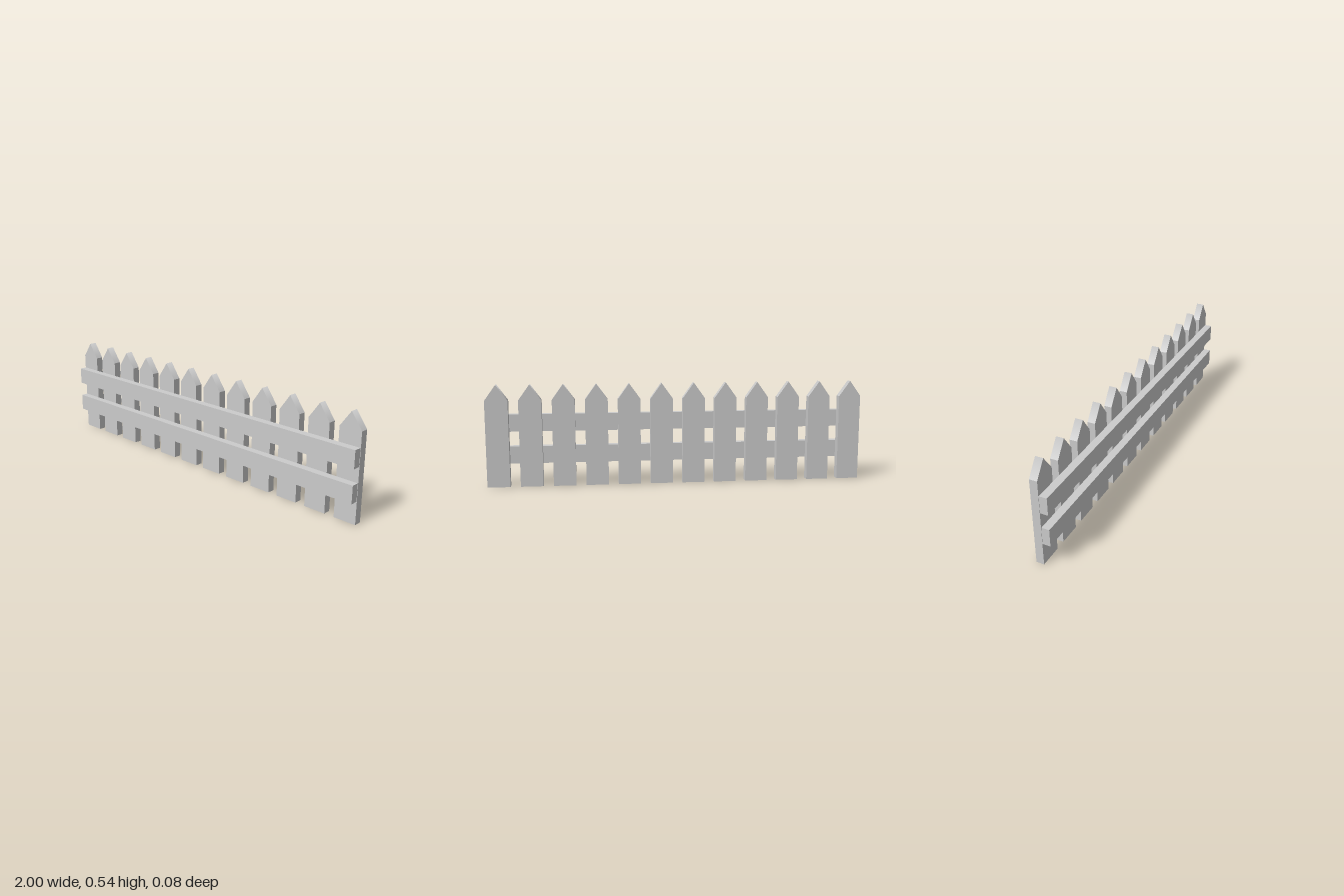
import * as THREE from 'three';

const COUNT = 12, WIDTH = 0.118, SHOULDER = 0.455, TIP = 0.537, DEPTH = 0.04;

// Pointed board, its ridge shaded smoothly from slope to slope
function picketGeometry() {
  const h = WIDTH / 2;
  const outline = new THREE.Shape([
    new THREE.Vector2(-h, 0),
    new THREE.Vector2(h, 0),
    new THREE.Vector2(h, SHOULDER),
    new THREE.Vector2(0, TIP),
    new THREE.Vector2(-h, SHOULDER),
  ]);
  const geometry = new THREE.ExtrudeGeometry(outline, { depth: DEPTH, bevelEnabled: false });
  geometry.translate(0, 0, -DEPTH);
  const { position, normal } = geometry.attributes;
  for (let i = 0; i < position.count; i++) {
    if (position.getY(i) > TIP - 0.01 && Math.abs(normal.getZ(i)) < 0.5) normal.setXYZ(i, 0, 1, 0);
  }
  return geometry;
}

export function createModel() {
  const group = new THREE.Group();
  group.name = 'picketFence';
  const material = new THREE.MeshStandardMaterial({ color: 0xcccccc });

  // Evenly spaced upright boards
  const picket = picketGeometry();
  const reach = 1 - WIDTH / 2;
  for (let i = 0; i < COUNT; i++) {
    const mesh = new THREE.Mesh(picket, material);
    mesh.name = `picket${i + 1}`;
    mesh.position.x = -reach + (2 * reach * i) / (COUNT - 1);
    group.add(mesh);
  }

  // Two rails across the front of the boards
  const rail = new THREE.BoxGeometry(1.996, 0.091, DEPTH);
  for (const [name, y] of [['lowerRail', 0.1625], ['upperRail', 0.3325]]) {
    const mesh = new THREE.Mesh(rail, material);
    mesh.name = name;
    mesh.position.set(0, y, DEPTH / 2);
    group.add(mesh);
  }
  return group;
}
